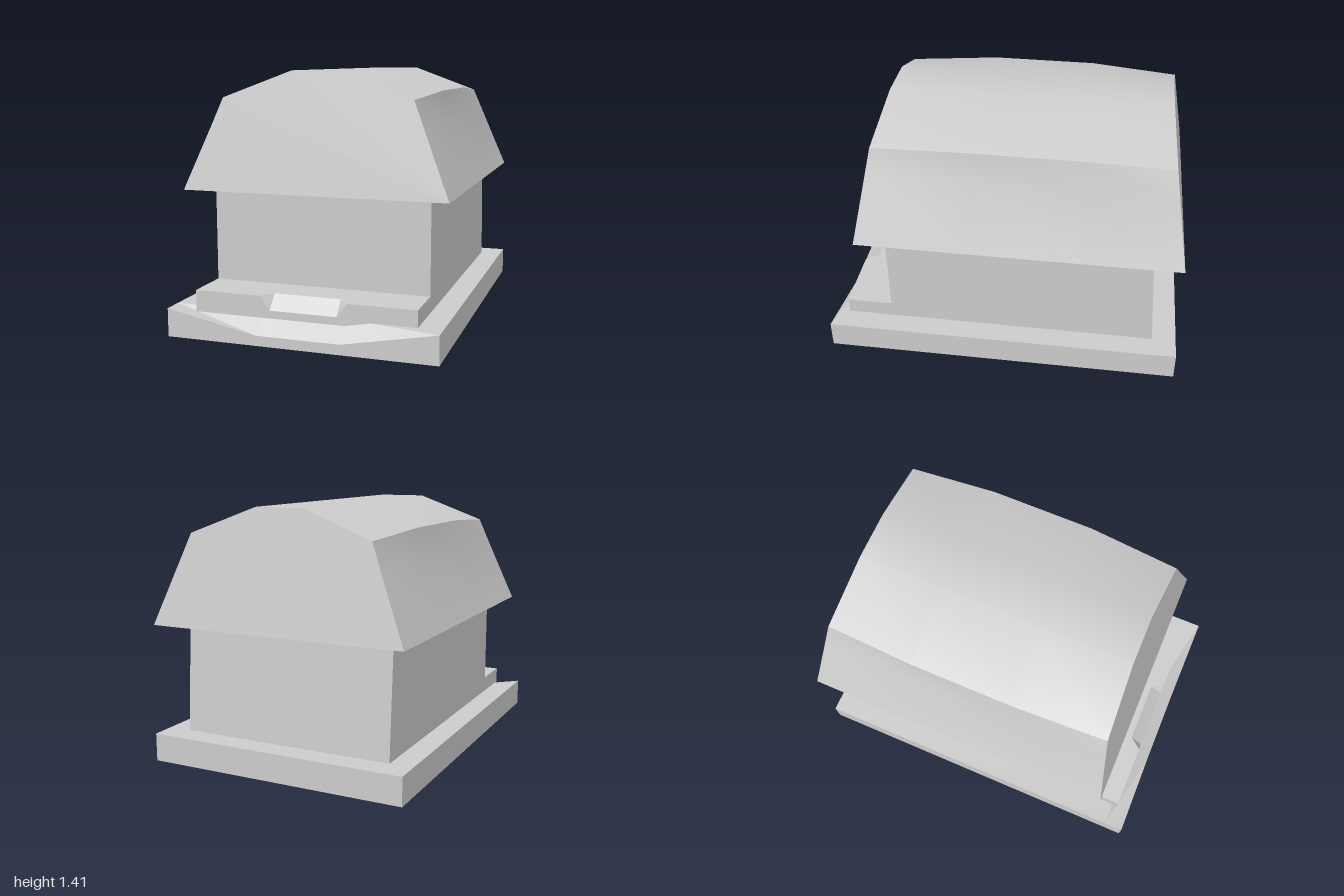
import * as THREE from 'three';
import { toCreasedNormals } from 'three/addons/utils/BufferGeometryUtils.js';

// Closed solid skinned over rings of [x, y, z] points; rings advance along +axis
// and run counter-clockwise seen from that end.
function loft(name, rings) {
  const pos = [];
  const same = (p, q) => p.every((v, i) => Math.abs(v - q[i]) < 1e-6);
  const tri = (a, b, c) => {
    if (!same(a, b) && !same(b, c) && !same(a, c)) pos.push(...a, ...b, ...c);
  };
  const n = rings[0].length;
  for (let i = 0; i < rings.length - 1; i++) {
    for (let j = 0; j < n; j++) {
      const k = (j + 1) % n;
      tri(rings[i][j], rings[i][k], rings[i + 1][k]);
      tri(rings[i][j], rings[i + 1][k], rings[i + 1][j]);
    }
  }
  const first = rings[0], last = rings[rings.length - 1];
  for (let j = 1; j < n - 1; j++) {
    tri(first[0], first[j + 1], first[j]);
    tri(last[0], last[j], last[j + 1]);
  }
  const geometry = new THREE.BufferGeometry();
  geometry.setAttribute('position', new THREE.Float32BufferAttribute(pos, 3));
  const mesh = new THREE.Mesh(
    toCreasedNormals(geometry, 0.5),
    new THREE.MeshStandardMaterial({ color: 0xcccccc })
  );
  mesh.name = name;
  return mesh;
}

export function createModel() {
  const model = new THREE.Group();
  model.name = 'roofedBlock';

  // Base slab with a scooped, sloping front edge
  const baseStations = [[-0.74, 0.155], [-0.23, 0.055], [0.23, 0.055], [0.74, 0.155]];
  model.add(loft('base', baseStations.map(([x, lip]) => [
    [x, 0, -1], [x, 0.155, -1], [x, 0.155, 0.89], [x, lip, 1], [x, 0, 1],
  ])));

  // Front step with a notch cut into its upper edge: x, lip height, notch depth
  const stepStations = [
    [-0.612, 0.245, 0.92], [-0.24, 0.245, 0.92], [-0.185, 0.17, 0.85],
    [0.185, 0.17, 0.85], [0.24, 0.245, 0.92], [0.612, 0.245, 0.92],
  ];
  model.add(loft('frontStep', stepStations.map(([x, lip, back]) => [
    [x, 0.1, 0.65], [x, 0.245, 0.65], [x, 0.245, back], [x, lip, 0.92], [x, 0.1, 0.92],
  ])));

  // Main body with a slightly leaning back wall
  const wall = (zLow, zHigh) => [
    [-0.612, 0.14, zLow], [0.612, 0.14, zLow], [0.612, 0.78, zHigh], [-0.612, 0.78, zHigh],
  ];
  model.add(loft('body', [wall(-0.866, -0.824), wall(0.66, 0.66)]));

  // Overhanging roof: leaning ends, sides swelling toward the middle
  const roofStations = [
    // rear-to-front fraction, shoulder x, shoulder y
    [0, 0.53, 1.265], [0.31, 0.56, 1.295], [0.68, 0.56, 1.295], [1, 0.53, 1.265],
  ];
  model.add(loft('roof', roofStations.map(([t, sx, sy]) => {
    const right = [[0.735, 0.765], [0.588, 1.12], [sx, sy], [0.14, 1.41]];
    const left = right.map(([x, y]) => [-x, y]).reverse();
    return [...right, ...left].map(([x, y]) => {
      const lean = 0.17 * (y - 0.765);
      return [x, y, THREE.MathUtils.lerp(-0.985 + lean, 0.8 - lean, t)];
    });
  })));

  return model;
}
